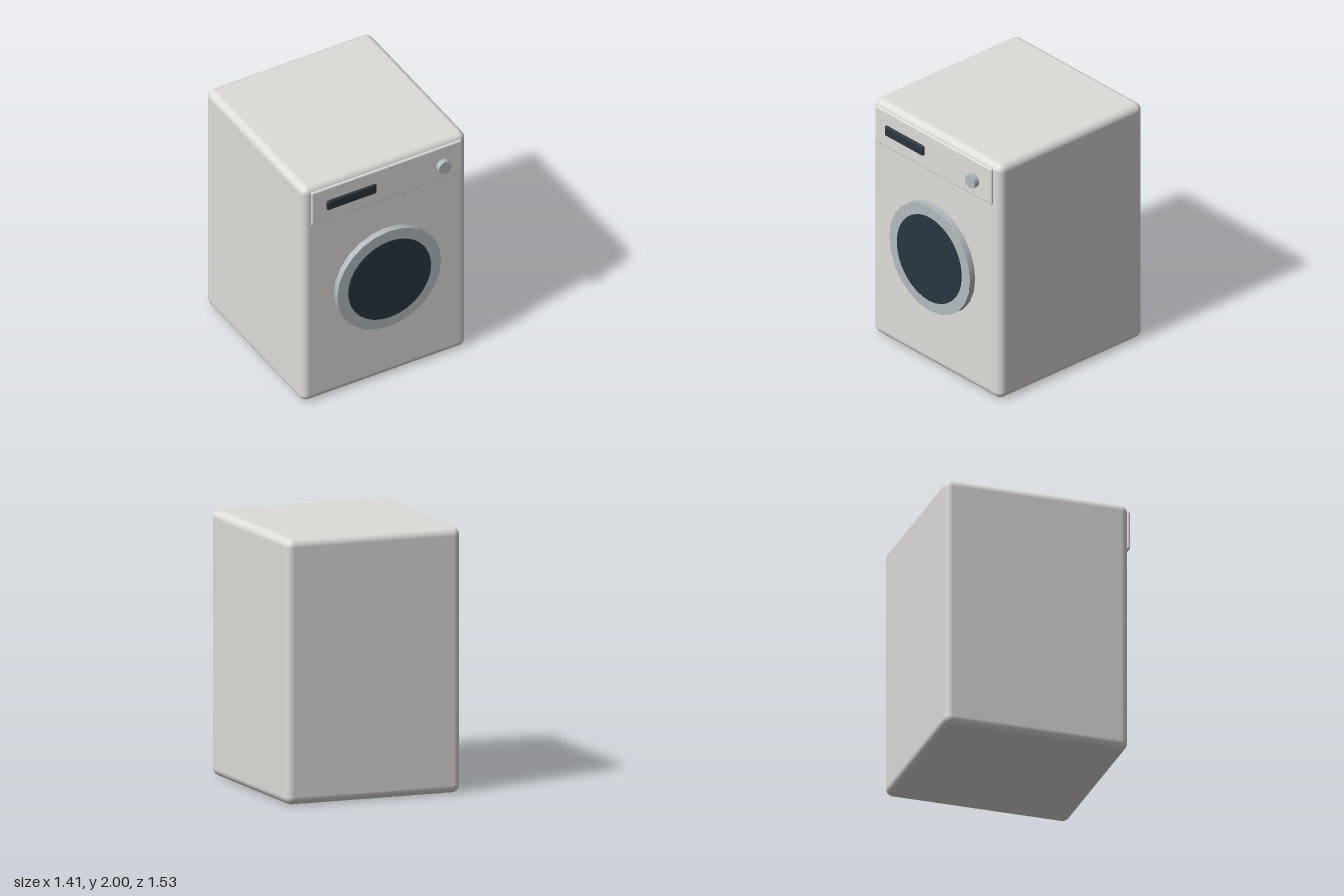
import * as THREE from 'three';
import { RoundedBoxGeometry } from 'three/addons/geometries/RoundedBoxGeometry.js';

function material(name, color) {
  const m = new THREE.MeshStandardMaterial({ color });
  m.name = name;
  return m;
}

export function createModel() {
  const model = new THREE.Group();
  model.name = 'washingMachine';
  const enamel = material('enamel', 0xdedcd9);
  const metal = material('metal', 0xb2bbc0);
  const darkGlass = material('darkGlass', 0x29353f);

  function add(name, geometry, mat, x, y, z) {
    const mesh = new THREE.Mesh(geometry, mat);
    mesh.name = name;
    mesh.position.set(x, y, z);
    model.add(mesh);
  }

  // Rounded slab between a back and a front z
  function slab(name, mat, x, y, w, h, back, front, radius, segments = 3) {
    add(name, new RoundedBoxGeometry(w, h, front - back, segments, radius), mat, x, y, (back + front) / 2);
  }

  // Disc whose axis points to the front
  function disc(name, mat, x, y, r, back, front, sides) {
    const geometry = new THREE.CylinderGeometry(r, r, front - back, sides).rotateX(Math.PI / 2);
    add(name, geometry, mat, x, y, (back + front) / 2);
  }

  slab('cabinet', enamel, 0, 1, 1.41, 2, -0.763, 0.677, 0.06, 5);

  // Control panel
  slab('controlPanel', enamel, 0, 1.817, 1.29, 0.305, 0.683, 0.708, 0.012);
  slab('display', darkGlass, -0.307, 1.815, 0.424, 0.082, 0.698, 0.727, 0.012);
  disc('programKnob', metal, 0.469, 1.815, 0.055, 0.72, 0.763, 24);

  // Door
  disc('doorRing', metal, 0, 0.945, 0.446, 0.689, 0.741, 24);
  disc('doorGlass', darkGlass, 0, 0.945, 0.354, 0.7, 0.75, 32);

  return model;
}
